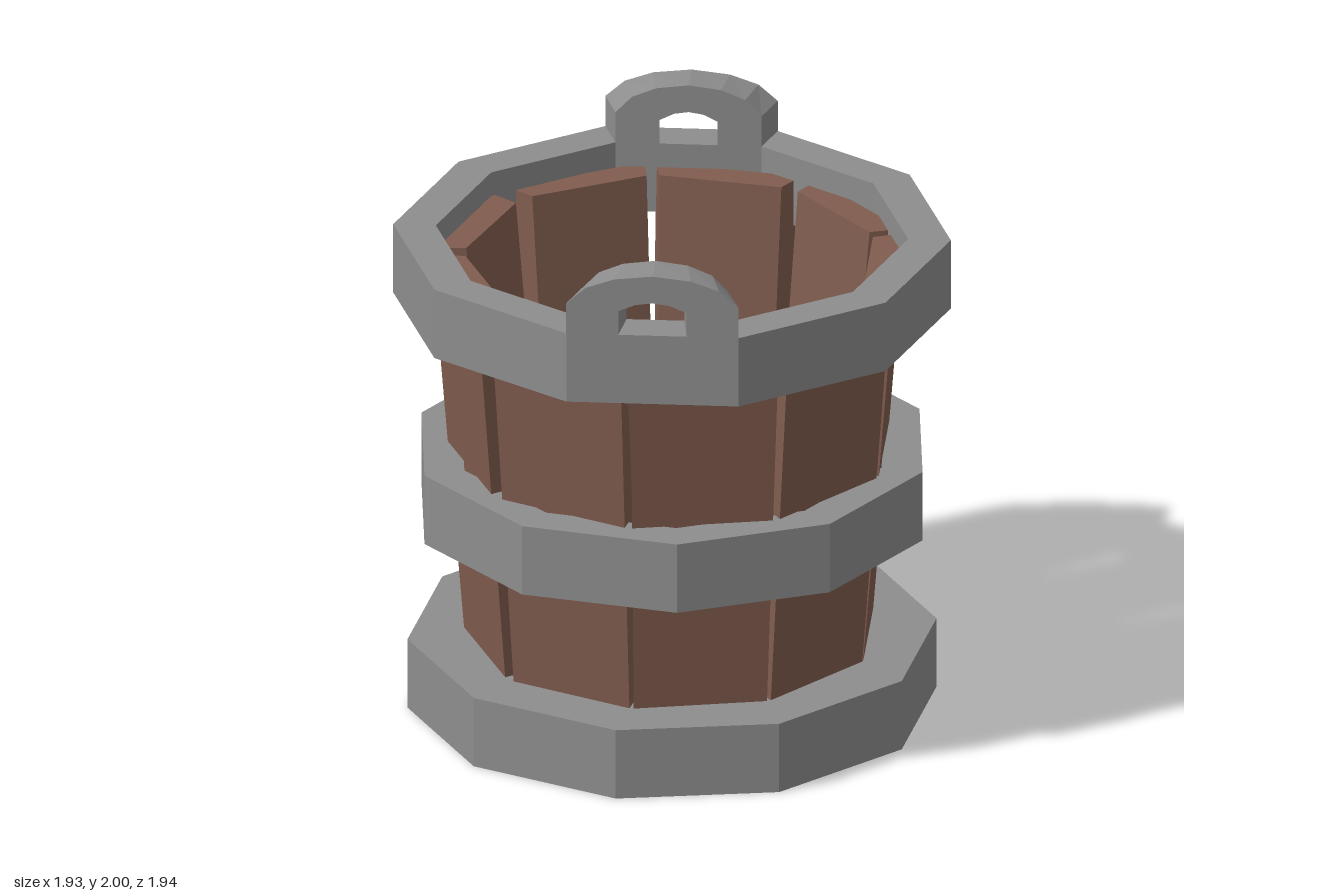
import * as THREE from 'three';

const rad = THREE.MathUtils.degToRad;
// Angles run from +x towards +z; turn() gives the matching rotation about y.
const turn = (deg) => rad(90 - deg);

const iron = new THREE.MeshStandardMaterial({ color: 0x8d8d8d, flatShading: true });
const wood = new THREE.MeshStandardMaterial({ color: 0x805c4e, flatShading: true });

const shapeOf = (points) => new THREE.Shape(points.map(([x, y]) => new THREE.Vector2(x, y)));

// Moves every vertex of a geometry by a rule
function reshape(geometry, rule) {
  const pos = geometry.attributes.position;
  const v = new THREE.Vector3();
  for (let i = 0; i < pos.count; i++) {
    rule(v.fromBufferAttribute(pos, i));
    pos.setXYZ(i, v.x, v.y, v.z);
  }
  geometry.computeVertexNormals();
  return geometry;
}

// Ten-sided solid of revolution with one corner at the given angle
function decagon(name, profile, cornerAngle) {
  const points = profile.map(([r, y]) => new THREE.Vector2(r, y));
  const mesh = new THREE.Mesh(new THREE.LatheGeometry(points, 10), iron);
  mesh.rotation.y = turn(cornerAngle);
  mesh.name = name;
  return mesh;
}

function hoop(name, inner, outer, y0, y1, cornerAngle) {
  return decagon(name, [[inner, y0], [outer, y0], [outer, y1], [inner, y1], [inner, y0]], cornerAngle);
}

// Wedge-shaped plank, leaning outwards and widening upwards
function staveGeometry() {
  const bottom = 0.2, height = 1.48, inner = 0.55, outer = 0.685;
  const section = [[-0.197, -inner], [-0.235, -outer], [0.235, -outer], [0.197, -inner]];
  const geometry = new THREE.ExtrudeGeometry(shapeOf(section), { depth: height, bevelEnabled: false });
  geometry.rotateX(-Math.PI / 2);
  return reshape(geometry, (v) => {
    const t = v.y / height;
    v.x *= 1 + 0.12 * t;
    v.z = THREE.MathUtils.lerp(v.z, 0.69 + (v.z - inner) * 0.82, t);
    v.y += bottom;
  });
}

// Arched lug standing on one side of the top hoop, tapering towards the axis
function handleGeometry() {
  const foot = 1.77, front = 0.932, back = 0.789;
  const arch = [
    [-0.303, foot], [-0.12, foot], [-0.12, 1.86], [-0.06, 1.885], [0, 1.893],
    [0.06, 1.885], [0.12, 1.86], [0.12, foot], [0.303, foot], [0.303, 1.885],
    [0.235, 1.945], [0.135, 1.98], [0, 1.995], [-0.135, 1.98], [-0.235, 1.945], [-0.303, 1.885],
  ];
  const geometry = new THREE.ExtrudeGeometry(shapeOf(arch), { depth: front - back, bevelEnabled: false });
  geometry.translate(0, 0, back);
  return reshape(geometry, (v) => { v.x *= v.z / front; });
}

export function createModel() {
  const bucket = new THREE.Group();
  bucket.name = 'bucket';

  // Solid base and two hoops
  bucket.add(
    decagon('base', [[0, 0], [0.932, 0], [0.932, 0.26], [0, 0.26]], 0),
    hoop('middleHoop', 0.77, 0.918, 0.71, 0.97, 22.7),
    hoop('topHoop', 0.83, 0.98, 1.51, 1.77, 10),
  );

  // Nine slightly uneven staves
  const stave = staveGeometry();
  [90.5, 51.5, 12.5, -26, -65, -106, -145, 173, 132].forEach((angle, i) => {
    const mesh = new THREE.Mesh(stave, wood);
    mesh.rotation.y = turn(angle);
    mesh.name = `stave${i + 1}`;
    bucket.add(mesh);
  });

  // Opposite handles
  const handle = handleGeometry();
  [['frontHandle', 64], ['backHandle', 244]].forEach(([name, angle]) => {
    const mesh = new THREE.Mesh(handle, iron);
    mesh.rotation.y = turn(angle);
    mesh.name = name;
    bucket.add(mesh);
  });

  return bucket;
}
